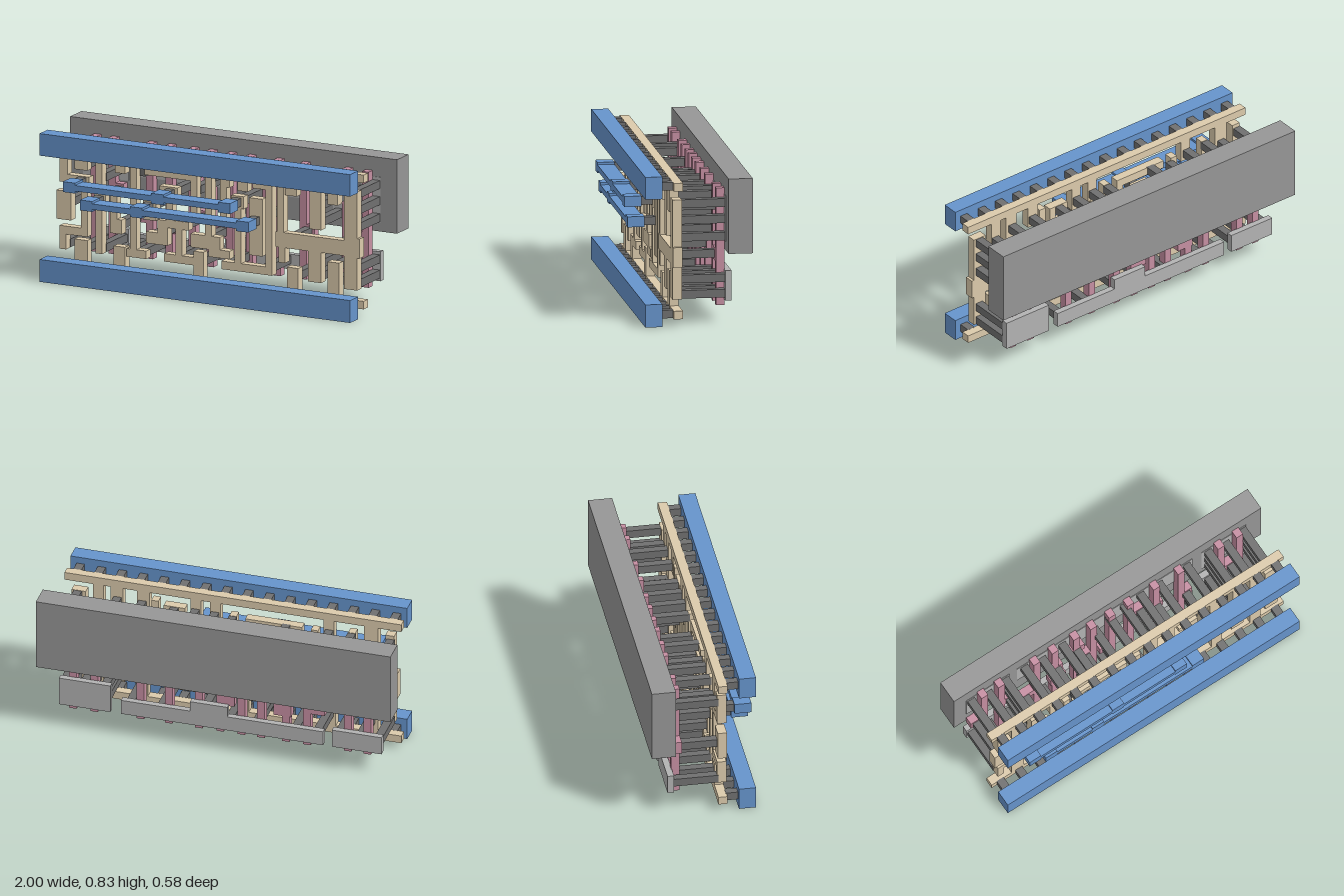
import * as THREE from 'three';

// Layers of a chip cell: [back z, front z, colour]
const LAYERS = {
  well: [-0.29, -0.158, 0x969696],
  diffusion: [-0.19, -0.155, 0xb3b3b3],
  gate: [-0.158, -0.112, 0xc68fa2],
  contact: [-0.155, 0.09, 0x707070],
  gateContact: [-0.112, 0.09, 0x707070],
  lowerMetal: [0.084, 0.134, 0xdccbac],
  via: [0.13, 0.2, 0x707070],
  upperMetal: [0.197, 0.29, 0x6694cc],
};

// Rectangles are [x0, x1, y0, y1]
const diffusions = [
  [-0.92, -0.64, 0.125, 0.23], [-0.59, -0.05, 0.125, 0.21], [-0.05, 0.16, 0.125, 0.27],
  [0.16, 0.55, 0.125, 0.21], [0.61, 0.9, 0.125, 0.29],
  [-0.92, -0.64, 0.5, 0.705], [-0.59, 0.55, 0.53, 0.705], [0.61, 0.9, 0.45, 0.705],
];

// Gate columns, then the pads and links that join them
const gateColumns = [-0.83, -0.72, -0.49, -0.37, -0.23, -0.12, 0.0, 0.12, 0.29, 0.45, 0.71, 0.83];
const gateLinks = [
  [-0.92, -0.83, 0.37, 0.44], [-0.72, -0.65, 0.42, 0.49], [-0.59, -0.49, 0.29, 0.35],
  [-0.4, -0.3, 0.25, 0.32], [-0.39, -0.32, 0.42, 0.49], [-0.27, -0.18, 0.51, 0.58],
  [-0.2, -0.12, 0.33, 0.4], [-0.08, 0.02, 0.26, 0.33], [0.12, 0.22, 0.51, 0.58],
  [0.25, 0.33, 0.42, 0.49], [0.43, 0.52, 0.33, 0.4], [0.71, 0.83, 0.33, 0.4],
];

// Lower metal: supply rails with their taps
const railsAndTaps = [
  [-0.95, 0.95, 0.04, 0.085], [-0.95, 0.95, 0.745, 0.79],
  [-0.82, -0.74, 0.61, 0.75], [-0.57, -0.51, 0.62, 0.75], [0.07, 0.13, 0.62, 0.75],
  [0.18, 0.24, 0.61, 0.75], [0.47, 0.54, 0.62, 0.75], [0.62, 0.69, 0.45, 0.75], [0.73, 0.79, 0.6, 0.75],
  [-0.82, -0.74, 0.08, 0.22], [-0.58, -0.51, 0.08, 0.21], [-0.09, -0.03, 0.08, 0.24],
  [0.48, 0.55, 0.08, 0.22], [0.73, 0.8, 0.08, 0.28],
];
const leftWiring = [
  [-0.91, -0.86, 0.53, 0.71], [-0.91, -0.73, 0.53, 0.575], [-0.78, -0.74, 0.28, 0.53],
  [-0.91, -0.74, 0.24, 0.285], [-0.91, -0.87, 0.155, 0.24], [-0.93, -0.84, 0.32, 0.48],
  [-0.69, -0.65, 0.155, 0.69], [-0.7, -0.63, 0.43, 0.49],
  [-0.6, -0.53, 0.28, 0.36], [-0.6, -0.56, 0.36, 0.5],
  [-0.48, -0.44, 0.16, 0.67], [-0.5, -0.38, 0.16, 0.205],
  [-0.39, -0.07, 0.63, 0.675], [-0.11, -0.07, 0.42, 0.63], [-0.4, -0.32, 0.38, 0.5],
  [-0.38, -0.25, 0.25, 0.315], [-0.31, -0.25, 0.315, 0.39], [-0.3, -0.19, 0.51, 0.58],
  [-0.26, -0.22, 0.35, 0.51], [-0.26, -0.12, 0.35, 0.395],
  [-0.27, -0.05, 0.16, 0.205], [-0.2, -0.16, 0.205, 0.35],
];
const rightWiring = [
  [-0.11, 0.07, 0.26, 0.335], [-0.02, 0.02, 0.335, 0.68], [0.0, 0.13, 0.22, 0.265],
  [0.07, 0.11, 0.42, 0.62], [-0.02, 0.11, 0.4, 0.44],
  [0.14, 0.215, 0.51, 0.58], [0.16, 0.2, 0.18, 0.51], [0.08, 0.36, 0.16, 0.205],
  [0.25, 0.33, 0.26, 0.58], [0.35, 0.39, 0.16, 0.68], [0.27, 0.39, 0.635, 0.68],
  [0.42, 0.46, 0.33, 0.7], [0.41, 0.85, 0.325, 0.41], [0.43, 0.47, 0.24, 0.33],
  [0.61, 0.69, 0.155, 0.33], [0.83, 0.91, 0.41, 0.69], [0.83, 0.925, 0.32, 0.43], [0.83, 0.91, 0.14, 0.32],
];

// Contact columns down to the diffusions: [x, ...heights]
const contactColumns = [
  [-0.89, 0.18, 0.665], [-0.78, 0.165, 0.63], [-0.67, 0.18, 0.575, 0.665], [-0.545, 0.165, 0.665],
  [-0.43, 0.18, 0.63], [-0.3, 0.655], [-0.21, 0.18], [-0.09, 0.575], [-0.06, 0.18],
  [0.0, 0.655], [0.1, 0.665, 0.18], [0.21, 0.665], [0.33, 0.18, 0.655], [0.51, 0.165, 0.665],
  [0.65, 0.18, 0.25, 0.48, 0.575, 0.665], [0.765, 0.165, 0.25, 0.63],
  [0.875, 0.165, 0.25, 0.48, 0.575, 0.665],
];
const gateContacts = [
  [-0.885, 0.405], [-0.67, 0.455], [-0.565, 0.32], [-0.35, 0.285], [-0.36, 0.455], [-0.23, 0.545],
  [-0.17, 0.365], [-0.04, 0.3], [0.18, 0.545], [0.29, 0.455], [0.48, 0.365], [0.77, 0.365],
];

// Signal wires of the upper metal: height and pad positions
const signals = [
  { y: 0.548, pads: [-0.77, -0.23, 0.178] },
  { y: 0.458, pads: [-0.665, -0.36, 0.29] },
];

export function createModel() {
  const model = new THREE.Group();
  const materials = new Map();

  // One named group of boxes on one layer
  function addPart(name, layer, rects) {
    const [back, front, color] = LAYERS[layer];
    if (!materials.has(color)) materials.set(color, new THREE.MeshStandardMaterial({ color }));
    const group = new THREE.Group();
    group.name = name;
    for (const [x0, x1, y0, y1] of rects) {
      const mesh = new THREE.Mesh(new THREE.BoxGeometry(x1 - x0, y1 - y0, front - back), materials.get(color));
      mesh.position.set((x0 + x1) / 2, (y0 + y1) / 2, (back + front) / 2);
      mesh.name = name + 'Piece';
      group.add(mesh);
    }
    model.add(group);
  }
  const square = (x, y, s = 0.045) => [x - s / 2, x + s / 2, y - s / 2, y + s / 2];

  // Silicon: well slab and diffusion plates
  addPart('well', 'well', [[-1, 1, 0.402, 0.815]]);
  addPart('diffusion', 'diffusion', diffusions);

  // Gates and their contacts
  addPart('gateColumn', 'gate', gateColumns.map((x) => [x - 0.021, x + 0.021, 0.092, 0.738]));
  addPart('gateLink', 'gate', gateLinks);
  addPart('gateContact', 'gateContact', gateContacts.map(([x, y]) => square(x, y)));
  addPart('contact', 'contact', contactColumns.flatMap(([x, ...ys]) => ys.map((y) => square(x, y))));

  // Lower metal
  addPart('lowerRail', 'lowerMetal', railsAndTaps);
  addPart('leftWiring', 'lowerMetal', leftWiring);
  addPart('rightWiring', 'lowerMetal', rightWiring);

  // Vias: an even row along both rails, plus one behind each signal pad
  const vias = [];
  for (let i = 0; i < 16; i++) {
    const x = -0.893 + i * 0.119;
    vias.push(square(x, 0.063), square(x, 0.767));
  }
  for (const { y, pads } of signals) for (const x of pads) vias.push(square(x, y));
  addPart('via', 'via', vias);

  // Upper metal: power rails, signal wires and pads
  addPart('powerRail', 'upperMetal', [[-0.95, 0.95, 0, 0.125], [-0.95, 0.95, 0.705, 0.828]]);
  for (const { y, pads } of signals) {
    addPart('signalWire', 'upperMetal', [[pads[0], pads[2], y - 0.016, y + 0.016]]);
    addPart('signalPad', 'upperMetal', pads.map((x) => [x - 0.037, x + 0.037, y - 0.029, y + 0.029]));
  }
  return model;
}
